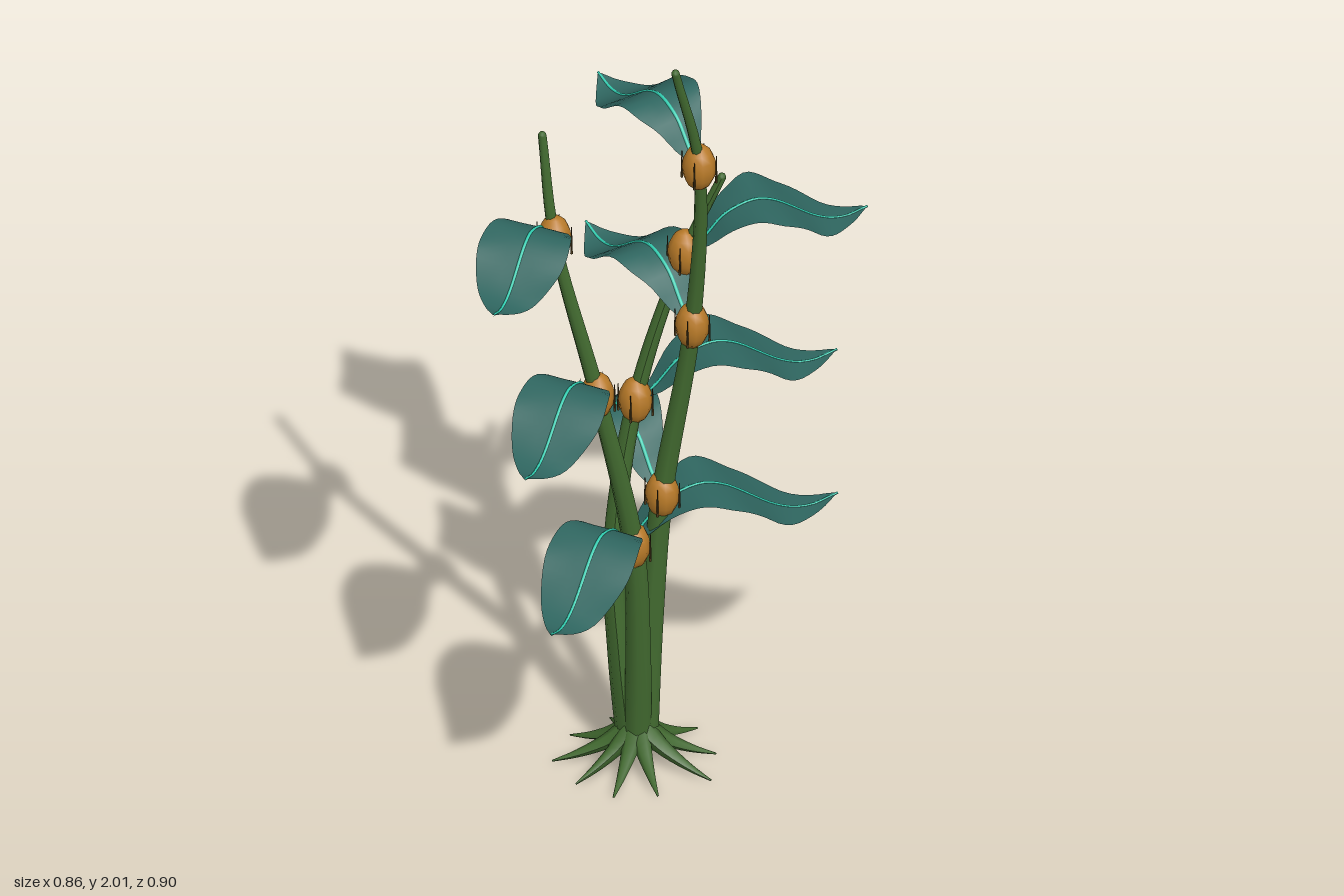
import * as THREE from 'three';

const V = (p) => new THREE.Vector3(...p);
const mat = (name, color, side = THREE.FrontSide) => {
  const m = new THREE.MeshStandardMaterial({ color, side });
  m.name = name;
  return m;
};

// Tube whose radius runs from r0 to r1 along a smooth path
function taperedTube(points, r0, r1, segments, sides) {
  const curve = new THREE.CatmullRomCurve3(points.map(V));
  const geo = new THREE.TubeGeometry(curve, segments, 1, sides);
  const pos = geo.attributes.position;
  const p = new THREE.Vector3();
  for (let i = 0; i < pos.count; i++) {
    const t = Math.floor(i / (sides + 1)) / segments;
    const c = curve.getPointAt(t);
    p.fromBufferAttribute(pos, i).sub(c).multiplyScalar(r0 + (r1 - r0) * t).add(c);
    pos.setXYZ(i, p.x, p.y, p.z);
  }
  geo.computeVertexNormals();
  return geo;
}

// Height of the leaf's midrib: arches up, dips, then lifts at the tip
const archCurve = new THREE.SplineCurve(
  [[0, 0], [0.1, 0.035], [0.2, 0.098], [0.3, 0.128], [0.4, 0.138], [0.5, 0.12],
    [0.6, 0.083], [0.7, 0.045], [0.8, 0.022], [0.9, 0.02], [1, 0.038]].map(([x, y]) => new THREE.Vector2(x, y)));

// Point on a leaf: t along the midrib, s from -1 to 1 across it
function leafPoint(node, tip, lift, t, s) {
  const dx = tip[0] - node[0], dz = tip[1] - node[2], len = Math.hypot(dx, dz);
  const w = 0.107 * Math.sin(Math.PI * t) * s;
  const ripple = 0.005 * Math.sin(t * 22 + s) * s * s * Math.sin(Math.PI * t);
  return [
    node[0] + dx * t - (dz / len) * w,
    node[1] + lift * archCurve.getPoint(t).y + ripple,
    node[2] + dz * t + (dx / len) * w,
  ];
}

export function createModel() {
  const model = new THREE.Group();
  const stemMat = mat('stem green', 0x41692f);
  const leafMat = mat('leaf teal', 0x2f6660, THREE.DoubleSide);
  const veinMat = mat('vein turquoise', 0x30cdb0);
  const budMat = mat('bud amber', 0xb87a28);
  const spineMat = mat('spine brown', 0x4a3a1c);

  const add = (parent, name, geo, material, position) => {
    const mesh = new THREE.Mesh(geo, material);
    mesh.name = name;
    if (position) mesh.position.set(...position);
    parent.add(mesh);
    return mesh;
  };

  // Each stem: base, three nodes, top; each node carries a leaf ending at tip [x, z]
  const stems = [
    {
      name: 'tallStem',
      path: [[-0.06, 0.04, -0.03], [-0.045, 0.38, -0.055], [-0.02, 0.72, -0.07], [0.05, 1.21, -0.055], [0.07, 1.7, 0.005], [0.02, 2, 0.062]],
      tips: [[-0.305, -0.45], [-0.22, -0.4], [-0.185, -0.308]],
    },
    {
      name: 'leftStem',
      path: [[-0.075, 0.04, -0.02], [-0.07, 0.34, 0.005], [-0.08, 0.64, 0.026], [-0.16, 1.08, 0.055], [-0.26, 1.51, 0.043], [-0.29, 1.775, 0.012]],
      tips: [[-0.24, 0.445], [-0.3, 0.445], [-0.375, 0.4]],
    },
    {
      name: 'backStem',
      path: [[-0.09, 0.04, -0.03], [-0.115, 0.3, -0.035], [-0.13, 0.57, -0.055], [-0.085, 0.95, -0.115], [0.025, 1.34, -0.16], [0.11, 1.55, -0.168]],
      tips: [[0.37, -0.26], [0.365, -0.3], [0.433, -0.328]],
    },
  ];

  for (const { name, path, tips } of stems) {
    const group = new THREE.Group();
    group.name = name;
    model.add(group);
    add(group, 'stalk', taperedTube(path, 0.033, 0.01, 40, 8), stemMat);
    add(group, 'stalkTip', new THREE.SphereGeometry(0.01, 8, 6), stemMat, path[5]);

    tips.forEach((tip, k) => {
      const node = path[k + 2];
      const lift = [1, 0.88, 0.8][k];

      // Oval bud with thin upright spines around it
      const budGeo = new THREE.SphereGeometry(1, 10, 8);
      budGeo.scale(0.04, 0.06, 0.04);
      add(group, 'bud', budGeo, budMat, node);
      for (let i = 0; i < 4; i++) {
        const a = (i / 4) * Math.PI * 2 + 0.2;
        add(group, 'budSpine', new THREE.CylinderGeometry(0.001, 0.003, 0.075, 4), spineMat,
          [node[0] + 0.041 * Math.cos(a), node[1], node[2] + 0.041 * Math.sin(a)]);
      }

      // Leaf blade: a plane bent into a pointed, arching sheet
      const blade = new THREE.PlaneGeometry(2, 1, 6, 28);
      const pos = blade.attributes.position;
      for (let i = 0; i < pos.count; i++) {
        pos.setXYZ(i, ...leafPoint(node, tip, lift, pos.getY(i) + 0.5, pos.getX(i)));
      }
      blade.computeVertexNormals();
      add(group, 'leafBlade', blade, leafMat);

      // Midrib vein
      const rib = [];
      for (let i = 1; i <= 20; i++) rib.push(leafPoint(node, tip, lift, i / 20, 0));
      add(group, 'leafVein', taperedTube(rib, 0.0045, 0.003, 30, 5), veinMat);
    });
  }

  // Ring of roots arching down to the ground
  const rootAngles = [23, 68, 105, 140, 173, 207, 245, 280, 315, 350];
  const roots = new THREE.Group();
  roots.name = 'roots';
  model.add(roots);
  rootAngles.forEach((deg, i) => {
    const a = (deg * Math.PI) / 180;
    const reach = 0.155 + 0.04 * Math.abs(Math.cos(a)) - 0.012 * (i % 2);
    const at = (r, y) => [-0.075 + r * Math.cos(a), y, -0.025 + r * Math.sin(a)];
    const path = [at(0.01, 0.1), at(reach * 0.35, 0.055), at(reach * 0.7, 0.022), at(reach, 0.003)];
    add(roots, 'root', taperedTube(path, 0.027, 0.002, 10, 6), stemMat);
  });

  return model;
}
